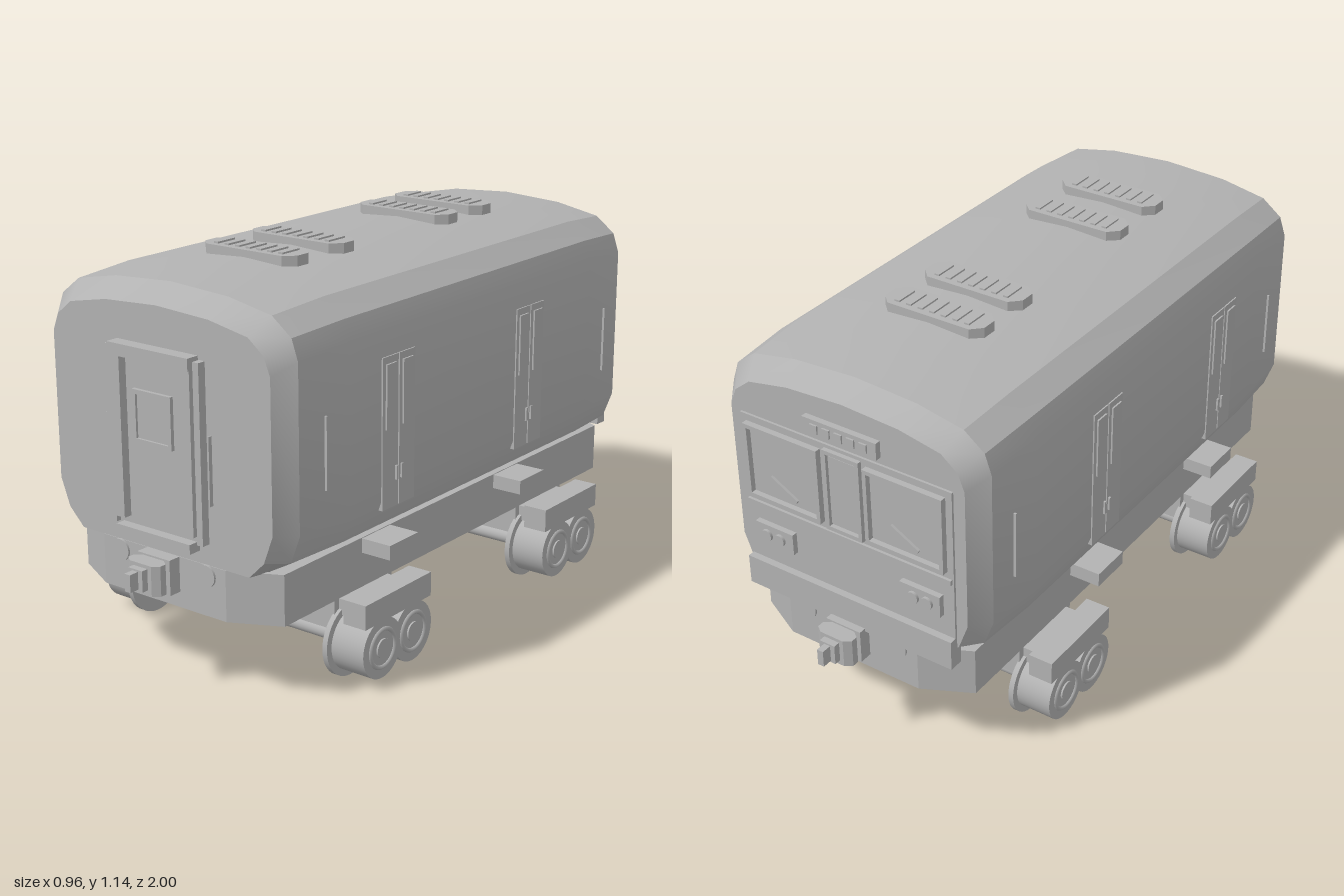
import * as THREE from 'three';
import { toCreasedNormals } from 'three/addons/utils/BufferGeometryUtils.js';

const grey = new THREE.MeshStandardMaterial({ color: 0xb2b2b2 });
grey.name = 'plain grey';

function add(parent, name, geometry) {
  const mesh = new THREE.Mesh(geometry, grey);
  mesh.name = name;
  parent.add(mesh);
  return mesh;
}

// Box given by its limits on each axis
function box(parent, name, x0, x1, y0, y1, z0, z1) {
  const g = new THREE.BoxGeometry(Math.abs(x1 - x0), y1 - y0, z1 - z0);
  g.translate((x0 + x1) / 2, (y0 + y1) / 2, (z0 + z1) / 2);
  return add(parent, name, g);
}

// Cylinder along x or z between two limits
function rod(parent, name, axis, r, a, b, u, y, sides = 32) {
  const g = new THREE.CylinderGeometry(r, r, Math.abs(b - a), sides);
  if (axis === 'x') g.rotateZ(Math.PI / 2).translate((a + b) / 2, y, u);
  else g.rotateX(Math.PI / 2).translate(u, y, (a + b) / 2);
  return add(parent, name, g);
}

// Plan outline (x, z) extruded upwards from y0 to y1
function slab(parent, name, pts, y0, y1) {
  const shape = new THREE.Shape(pts.map(([x, z]) => new THREE.Vector2(x, -z)));
  const g = new THREE.ExtrudeGeometry(shape, { depth: y1 - y0, bevelEnabled: false });
  g.rotateX(-Math.PI / 2).translate(0, y0, 0);
  return add(parent, name, g);
}

// Rectangle with cut corners
const octagon = (w, d, cx, cz, z = 0) => [[w, d - cz], [w - cx, d], [cx - w, d], [-w, d - cz],
  [-w, cz - d], [cx - w, -d], [w - cx, -d], [w, cz - d]].map(([a, b]) => [a, b + z]);

// Car body lofted between a full section and a smaller end section
function bodyGeometry() {
  const full = [[0, .375], [.31, .375], [.40, .42], [.43, .50], [.43, .97], [.41, 1.03], [.345, 1.08], [.2, 1.108], [0, 1.12]];
  const end = [[0, .38], [.30, .38], [.35, .43], [.38, .51], [.38, .93], [.36, .98], [.31, 1.02], [.18, 1.045], [0, 1.055]];
  const loop = (t) => {
    const half = full.map((p, i) => p.map((v, k) => end[i][k] + (v - end[i][k]) * t));
    return [...half, ...half.slice(1, -1).reverse().map(([x, y]) => [-x, y])];
  };
  const stations = [[-.85, 0], [-.79, .8], [-.6, 1], [.6, 1], [.8, .8], [.86, 0]];
  const pos = [], idx = [];
  stations.forEach(([z, t]) => loop(t).forEach(([x, y]) => pos.push(x, y, z)));
  const n = pos.length / 3 / stations.length, last = n * (stations.length - 1);
  for (let s = 0; s < stations.length - 1; s++) {
    for (let i = 0; i < n; i++) {
      const a = s * n + i, b = s * n + (i + 1) % n;
      idx.push(a, b, b + n, a, b + n, a + n);
    }
  }
  for (let i = 1; i < n - 1; i++) {
    idx.push(0, i + 1, i, last, last + i, last + i + 1);
  }
  const g = new THREE.BufferGeometry();
  g.setAttribute('position', new THREE.Float32BufferAttribute(pos, 3));
  g.setIndex(idx);
  return toCreasedNormals(g, 0.45);
}

// Two axles, four flanged wheels, side frames and a cross beam
function bogie(z) {
  const g = new THREE.Group();
  g.name = 'bogie';
  box(g, 'bogieBeam', -.36, .36, .15, .236, -.13, .13);
  for (const dz of [-.07, .07]) {
    rod(g, 'axle', 'x', .022, -.37, .37, dz, .108, 20);
    for (const s of [-1, 1]) {
      rod(g, 'wheelFlange', 'x', .107, s * .354, s * .37, dz, .108, 40);
      rod(g, 'wheelTread', 'x', .087, s * .37, s * .477, dz, .108, 40);
      const ring = new THREE.TorusGeometry(.055, .007, 6, 32).rotateY(Math.PI / 2);
      add(g, 'wheelRing', ring.translate(s * .476, .108, dz));
      rod(g, 'wheelHub', 'x', .028, s * .46, s * .482, dz, .108, 20);
    }
  }
  for (const s of [-1, 1]) {
    box(g, 'sideFrame', s * .405, s * .48, .188, .258, -.15, .15);
    box(g, 'frameBracket', s * .35, s * .41, .19, .236, -.11, .11);
  }
  g.position.z = z;
  return g;
}

// Coupler pointing to +z
function coupler() {
  const g = new THREE.Group();
  g.name = 'coupler';
  box(g, 'couplerBlock', -.058, .058, .28, .38, .84, .9);
  slab(g, 'couplerHead', octagon(.058, .025, .02, .015, .925), .29, .375);
  box(g, 'couplerPin', -.025, .025, .305, .365, .94, .97);
  box(g, 'couplerTip', -.01, .01, .31, .36, .97, 1);
  for (const x of [-.155, .155]) rod(g, 'bufferDisc', 'z', .031, .84, .868, x, .35);
  return g;
}

// Gangway door on the front end
function frontDoor() {
  const g = new THREE.Group();
  g.name = 'frontDoor';
  box(g, 'doorBacking', -.16, .16, .44, .93, .85, .87);
  box(g, 'doorHeader', -.142, .142, .912, .946, .85, .9);
  box(g, 'doorSill', -.132, .132, .415, .442, .85, .9);
  for (const s of [-1, 1]) {
    box(g, 'outerJamb', s * .145, s * .165, .44, .935, .85, .885);
    box(g, 'innerJamb', s * .105, s * .142, .462, .914, .85, .895);
    box(g, 'frontHandrail', s * .178, s * .182, .55, .74, .85, .872);
  }
  box(g, 'doorLeaf', -.092, .092, .455, .91, .86, .878);
  frame(g, 'doorWindowFrame', 0, .755, .068, .073, .012, .875, .889);
  box(g, 'doorGlass', -.057, .057, .693, .815, .876, .882);
  return g;
}

// Hollow rectangular frame facing z
function frame(parent, name, x, y, w, h, t, z0, z1) {
  for (const s of [-1, 1]) {
    box(parent, name, x + s * (w - t), x + s * w, y - h, y + h, z0, z1);
    const top = y + s * (h - t / 2);
    box(parent, name, x - w + t, x + w - t, top - t / 2, top + t / 2, z0, z1);
  }
}

// Cab end, built facing +z and then turned to the back
function cabEnd() {
  const g = new THREE.Group();
  g.name = 'cabEnd';
  box(g, 'cabPanel', -.345, .345, .46, .92, .835, .857);
  box(g, 'cabSkirt', -.345, .345, .37, .46, .835, .878);
  box(g, 'beltStrip', -.34, .34, .635, .65, .85, .865);
  frame(g, 'cabDoorFrame', 0, .785, .06, .125, .012, .85, .87);
  box(g, 'cabDoorGlass', -.046, .046, .68, .89, .855, .862);
  for (const s of [-1, 1]) {
    frame(g, 'windscreenFrame', s * .2, .785, .125, .115, .012, .85, .875);
    box(g, 'windscreen', s * .09, s * .31, .685, .885, .855, .862);
    const wiper = box(g, 'wiper', -.05, .05, -.005, .005, -.004, .004);
    wiper.position.set(s * .2, .73, .868);
    wiper.rotation.z = -.5;
    box(g, 'lampCase', s * .18, s * .31, .525, .59, .85, .874);
    for (const x of [.225, .27]) rod(g, 'lamp', 'z', .018, .86, .882, s * x, .558, 20);
  }
  box(g, 'signBox', -.12, .12, .94, .99, .84, .868);
  for (let i = -2; i <= 2; i++) box(g, 'signCell', i * .04 - .012, i * .04 + .012, .952, .978, .86, .873);
  g.rotation.y = Math.PI;
  return g;
}

// Sliding double door with windows, handles and a step
function sideDoor(parent, s, z) {
  const g = new THREE.Group();
  g.name = 'sideDoor';
  for (const d of [-1, 1]) {
    const c = z + d * .0375;
    box(g, 'doorLeaf', s * .41, s * .434, .475, .9, c - .035, c + .035);
    box(g, 'doorWindow', s * .43, s * .439, .7, .88, c - .022, c + .022);
    box(g, 'doorHandle', s * .43, s * .44, .55, .59, z + d * .012 - .004, z + d * .012 + .004);
  }
  box(g, 'step', s * .34, s * .455, .336, .378, z - .065, z + .065);
  parent.add(g);
}

// Equipment boxes with ribs, and an air tank
function underfloor() {
  const g = new THREE.Group();
  g.name = 'underfloorEquipment';
  for (const s of [-1, 1]) {
    for (const [z0, z1] of [[.03, .285], [-.31, -.105]]) {
      box(g, 'equipmentBox', s * .1, s * .3, .195, .24, z0, z1);
      for (let i = 0; i < 6; i++) {
        const z = z0 + .04 + i * .025;
        box(g, 'coolingRib', s * .29, s * .307, .2, .232, z, z + .01);
      }
    }
    rod(g, 'airTank', 'z', .02, -.11, .035, s * .22, .215, 20);
  }
  return g;
}

// Roof vent with cut corners and slats
function roofVent(z) {
  const g = new THREE.Group();
  g.name = 'roofVent';
  slab(g, 'ventCover', octagon(.163, .053, .03, .03), 1.09, 1.14);
  for (let i = -3; i <= 3; i++) box(g, 'ventSlat', i * .038 - .008, i * .038 + .008, 1.135, 1.145, -.035, .035);
  g.position.z = z;
  return g;
}

export function createModel() {
  const model = new THREE.Group();
  model.name = 'railCar';
  add(model, 'carBody', bodyGeometry());
  slab(model, 'underframe', octagon(.36, .862, .14, .07), .235, .38);
  model.add(frontDoor(), cabEnd(), underfloor());
  model.add(bogie(.452), bogie(-.452));
  const rear = coupler();
  rear.rotation.y = Math.PI;
  model.add(coupler(), rear);
  for (const z of [.46, .26, -.245, -.425]) model.add(roofVent(z));
  for (const s of [-1, 1]) {
    for (const z of [.395, -.257]) sideDoor(model, s, z);
    for (const z of [.7, -.7]) box(model, 'sideHandrail', s * .41, s * .432, .6, .8, z - .003, z + .003);
  }
  return model;
}
